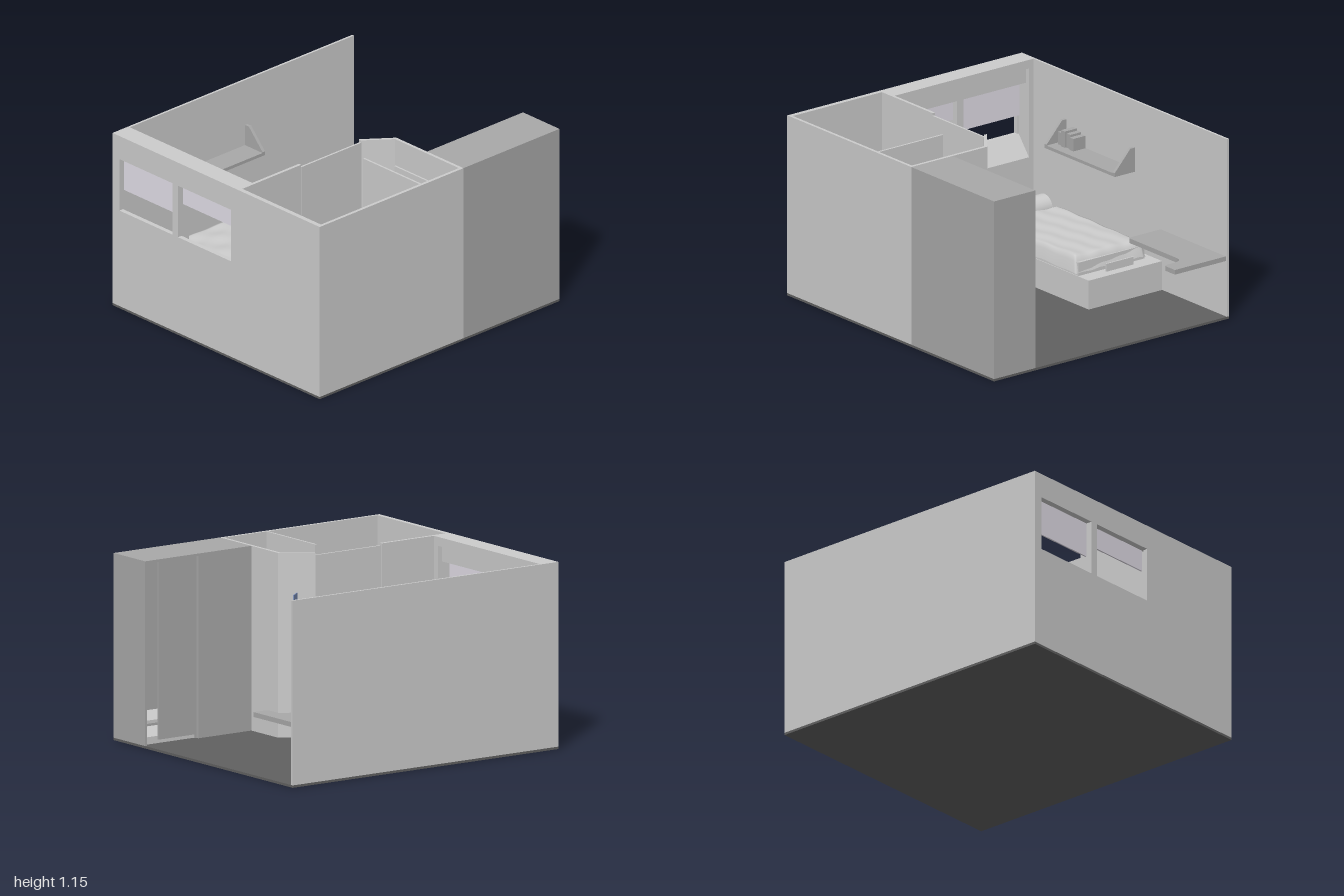
import * as THREE from 'three';

const mat = (color) => new THREE.MeshStandardMaterial({ color, side: THREE.DoubleSide });
const GREY = mat(0xcccccc), WOOD = mat(0xa8a8a8), DARK = mat(0x606060), BLIND = mat(0xe0dce6), BLUE = mat(0x8094c0);
const TOP = 1.155, FLOOR = 0.015;

export function createModel() {
  const root = new THREE.Group();
  const add = (name, geo, material = GREY) => {
    const mesh = new THREE.Mesh(geo, material);
    mesh.name = name;
    root.add(mesh);
    return mesh;
  };
  // box from its min and max corners
  const box = (name, x0, x1, y0, y1, z0, z1, material) =>
    add(name, new THREE.BoxGeometry(x1 - x0, y1 - y0, z1 - z0)
      .translate((x0 + x1) / 2, (y0 + y1) / 2, (z0 + z1) / 2), material);
  // plan outline (a Shape drawn in x, -z) raised from y0 to y1
  const rise = (name, shape, y0, y1, material) =>
    add(name, new THREE.ExtrudeGeometry(shape, { depth: y1 - y0, bevelEnabled: false, curveSegments: 10 })
      .rotateX(-Math.PI / 2).translate(0, y0, 0), material);
  const plan = (pts) => new THREE.Shape(pts.map(([x, z]) => new THREE.Vector2(x, -z)));
  // side profile (x, y) extruded along z
  const profileZ = (name, pts, z0, z1, material) =>
    add(name, new THREE.ExtrudeGeometry(new THREE.Shape(pts.map(([x, y]) => new THREE.Vector2(x, y))),
      { depth: z1 - z0, bevelEnabled: false }).translate(0, 0, z0), material);
  const rectHole = (x0, x1, y0, y1) => new THREE.Path([[x0, y0], [x0, y1], [x1, y1], [x1, y0]]
    .map(([x, y]) => new THREE.Vector2(x, y)));

  // floor and outer walls
  box('floor', -0.91, 0.91, 0, FLOOR, -1, 1, DARK);
  box('rightWall', -0.91, -0.895, FLOOR, TOP, -1, 1);
  box('leftWall', 0.89, 0.91, FLOOR, TOP, -0.2, 1);

  // front wall: outer skin with two windows
  const windows = [[-0.85, -0.385, 0.78], [-0.335, 0.13, 0.865]];
  const skin = new THREE.Shape([[-0.91, FLOOR], [0.91, FLOOR], [0.91, TOP], [-0.91, TOP]]
    .map(([x, y]) => new THREE.Vector2(x, y)));
  for (const [x0, x1] of windows) skin.holes.push(rectHole(x0, x1, 0.655, 1));
  add('frontWall', new THREE.ExtrudeGeometry(skin, { depth: 0.03, bevelEnabled: false }).translate(0, 0, 0.97));

  // inner lining: wall below the sloping sill, header above, side cheeks
  const sill = new THREE.Shape([[0.87, FLOOR], [0.97, FLOOR], [0.97, 0.655], [0.87, 0.53]]
    .map(([z, y]) => new THREE.Vector2(-z, y)));
  add('windowSill', new THREE.ExtrudeGeometry(sill, { depth: 1.075, bevelEnabled: false })
    .rotateY(Math.PI / 2).translate(-0.895, 0, 0));
  box('windowHeader', -0.895, 0.18, 1.1, TOP, 0.87, 0.97);
  box('curtainBox', -0.88, 0.165, 1.0, 1.09, 0.9, 0.97);
  box('windowCheek', 0.14, 0.18, 0.53, 1.1, 0.87, 0.97);
  box('windowCheek', -0.895, -0.86, 0.53, 1.1, 0.87, 0.97);
  box('windowMullion', -0.385, -0.335, 0.6, 1.0, 0.91, 0.97);
  for (const [x0, x1, y] of windows) box('blind', x0, x1, y, 1, 0.95, 0.96, BLIND);

  // closet with a part-open sliding door
  box('closetBackWall', 0.89, 0.91, FLOOR, TOP, -1, -0.2, WOOD);
  box('closetEnd', 0.59, 0.89, FLOOR, TOP, -1, -0.985, WOOD);
  box('closetEnd', 0.59, 0.89, FLOOR, TOP, -0.215, -0.2, WOOD);
  box('closetTop', 0.59, 0.89, 1.14, TOP, -0.985, -0.215, WOOD);
  box('closetFront', 0.59, 0.61, FLOOR, 1.14, -0.6, -0.215, WOOD);
  box('closetDivider', 0.61, 0.89, FLOOR, 1.14, -0.61, -0.595, WOOD);
  box('closetDoor', 0.6, 0.615, 0.04, 1.14, -0.89, -0.61, WOOD);
  box('closetShelf', 0.63, 0.89, 0.14, 0.16, -0.985, -0.61);
  box('closetPlinth', 0.62, 0.89, FLOOR, 0.06, -0.985, -0.61);

  // bathroom shell with its cut corner
  rise('bathroomFloor', plan([[0.19, -0.02], [0.32, -0.19], [0.89, -0.19], [0.89, 0.97], [0.19, 0.97]]), FLOOR, 0.03);
  rise('bathroomCornerWall', plan([[0.18, -0.02], [0.32, -0.2], [0.89, -0.2], [0.89, -0.18], [0.33, -0.18],
    [0.2, -0.015]]), FLOOR, TOP);
  box('bathroomSideWall', 0.18, 0.2, FLOOR, TOP, 0.48, 0.97);
  box('bathroomDoor', 0.19, 0.203, 0.03, 1.14, -0.018, 0.48);
  box('showerPartition', 0.395, 0.89, FLOOR, TOP, 0.135, 0.148);
  // shower tray and wall panel
  const tray = plan([[0.205, 0.125], [0.205, -0.01], [0.33, -0.165], [0.875, -0.165], [0.875, 0.125]]);
  tray.holes.push(plan([[0.22, 0.11], [0.22, -0.005], [0.335, -0.15], [0.86, -0.15], [0.86, 0.11]]));
  rise('showerTray', tray, 0.03, 0.06);
  box('showerPanel', 0.335, 0.88, 0.06, 0.98, -0.18, -0.168);
  // picture on the cut corner
  const picture = add('picture', new THREE.BoxGeometry(0.145, 0.35, 0.006), BLUE);
  picture.position.set(0.247, 0.735, -0.112);
  picture.rotation.y = Math.atan2(-0.14, -0.18) + Math.PI / 2;

  // toilet
  const seat = new THREE.Shape();
  seat.moveTo(0.415, -0.97);
  seat.lineTo(0.415, -0.8);
  seat.quadraticCurveTo(0.415, -0.715, 0.49, -0.715);
  seat.lineTo(0.6, -0.715);
  seat.quadraticCurveTo(0.675, -0.715, 0.675, -0.8);
  seat.lineTo(0.675, -0.97);
  rise('toilet', seat, 0.03, 0.24);

  // washstand with sunken basin, and mirror
  const top = plan([[0.735, 0.225], [0.885, 0.225], [0.885, 0.6], [0.735, 0.6]]);
  top.holes.push(plan([[0.76, 0.33], [0.865, 0.33], [0.865, 0.5], [0.76, 0.5]]));
  rise('washstand', top, 0.36, 0.42);
  box('basin', 0.755, 0.87, 0.34, 0.365, 0.325, 0.505);
  box('mirror', 0.878, 0.889, 0.55, 0.9, 0.17, 0.66);

  // desk with a rounded return along the right wall
  const desk = new THREE.Shape();
  desk.moveTo(-0.895, 0.99);
  desk.lineTo(-0.5, 0.99);
  desk.lineTo(-0.5, 0.91);
  desk.quadraticCurveTo(-0.5, 0.885, -0.525, 0.885);
  desk.lineTo(-0.58, 0.885);
  desk.quadraticCurveTo(-0.645, 0.885, -0.645, 0.82);
  desk.lineTo(-0.645, 0.38);
  desk.quadraticCurveTo(-0.645, 0.36, -0.665, 0.36);
  desk.lineTo(-0.895, 0.36);
  rise('desk', desk, 0.37, 0.4, WOOD);

  // bed platform, mattress and bolster
  rise('bedPlatform', plan([[-0.895, -0.375], [-0.325, -0.375], [-0.325, 0.3], [-0.18, 0.3], [-0.18, 0.87],
    [-0.895, 0.87]]), FLOOR, 0.2);
  box('mattress', -0.84, -0.33, 0.2, 0.285, -0.27, 0.71);
  const bolster = add('bolster', new THREE.CylinderGeometry(0.08, 0.08, 0.36, 24).rotateZ(Math.PI / 2));
  bolster.position.set(-0.605, 0.3, 0.625);
  box('bedHandle', -0.72, -0.51, 0.2, 0.25, -0.315, -0.305);

  // rumpled duvet: a grid with hanging edges that flares at one corner
  const N = 40, duvet = new THREE.PlaneGeometry(2, 2, N, N).rotateX(-Math.PI / 2);
  const p = duvet.attributes.position;
  for (let i = 0; i < p.count; i++) {
    const u = p.getX(i), v = p.getZ(i);
    const flare = 0.08 * Math.max(0, u) * Math.pow(Math.max(0, (v + 0.2) / 1.2), 2);
    const edge = Math.max(Math.abs(u) - 0.88, -0.88 - v, 0) / 0.12;
    const ripple = 0.005 * Math.sin(9 * u + 4 * v) * Math.sin(7 * v - 3 * u);
    p.setXYZ(i, -0.575 + 0.265 * u + flare, 0.32 + ripple - 0.1 * edge * edge, 0.13 + 0.41 * v + 0.01 * u);
  }
  duvet.computeVertexNormals();
  add('duvet', duvet);

  // wall shelf with shaped end plates and books
  const end = [[-0.895, 0.7], [-0.74, 0.7], [-0.74, 0.725], [-0.86, 0.855], [-0.895, 0.855]];
  for (const z of [-0.11, 0.55]) profileZ('shelfEnd', end, z, z + 0.02, WOOD);
  box('wallShelf', -0.895, -0.74, 0.7, 0.72, -0.09, 0.55, WOOD);
  for (let i = 0; i < 4; i++) {
    const z = 0.365 + i * 0.042;
    box('book', -0.893, i % 2 ? -0.81 : -0.8, 0.72, 0.8 + 0.012 * (i % 3), z, z + 0.036, WOOD);
  }

  // low cabinet under the window
  box('lowCabinet', -0.14, 0.135, FLOOR, 0.28, 0.67, 0.84);
  return root;
}
